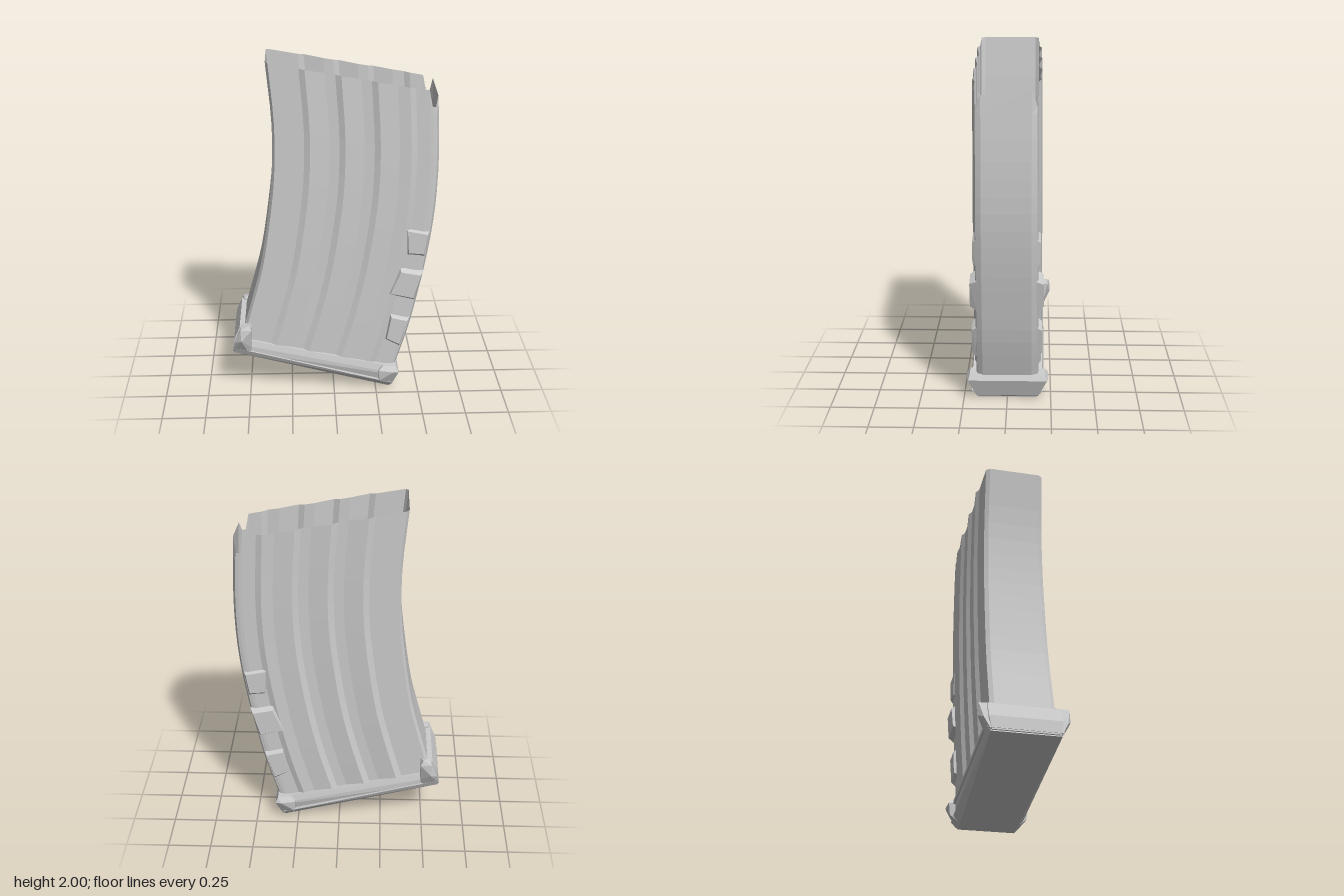
import * as THREE from 'three';
import { ConvexGeometry } from 'three/addons/geometries/ConvexGeometry.js';

const material = new THREE.MeshStandardMaterial({ color: 0xcccccc, flatShading: true, side: THREE.DoubleSide });

const curve = (pts) => new THREE.CatmullRomCurve3(pts.map(([x, y]) => new THREE.Vector3(x, y, 0)));

// Edges of the curved body, bottom to top
const innerEdge = curve([[-0.55, 0.34], [-0.485, 0.57], [-0.425, 0.8], [-0.38, 1.08], [-0.35, 1.35], [-0.345, 1.65], [-0.375, 2]]);
const outerEdge = curve([[0.36, 0.12], [0.44, 0.38], [0.495, 0.62], [0.545, 0.88], [0.58, 1.16], [0.59, 1.45], [0.575, 1.83]]);

// Side wall profile: [position across the body, depth, drop of the top rim]
const profile = [
  [0, 0.15, 0], [0.015, 0.172, 0], [0.19, 0.174, 0], [0.225, 0.19, 0], [0.34, 0.174, 0],
  [0.4, 0.174, 0], [0.435, 0.191, 0], [0.55, 0.174, 0], [0.61, 0.176, 0], [0.645, 0.192, 0],
  [0.76, 0.18, 0], [0.83, 0.186, 0], [0.865, 0.172, 0], [0.945, 0.172, 0], [0.965, 0.17, 0.09],
  [0.985, 0.165, 0.09], [1, 0.135, 0.03],
];

// Open tube lofted from cross-sections
function shellGeometry(rows = 18) {
  const ring = [
    ...profile.map(([u, z, drop]) => [u, z, drop]),
    ...profile.map(([u, z, drop]) => [u, -z, u === 1 ? 0 : drop]).reverse(),
  ];
  const n = ring.length, positions = [], index = [];
  for (let i = 0; i <= rows; i++) {
    const t = i / rows;
    const a = innerEdge.getPoint(t), b = outerEdge.getPoint(t);
    const swell = 1.04 - 0.05 * t;
    for (const [u, z, drop] of ring) {
      const p = a.clone().lerp(b, u);
      positions.push(p.x, p.y - (i === rows ? drop : 0), z * swell);
    }
  }
  for (let i = 0; i < rows; i++) {
    for (let j = 0; j < n; j++) {
      const a = i * n + j, b = i * n + (j + 1) % n;
      index.push(a, b, b + n, a, b + n, a + n);
    }
  }
  const g = new THREE.BufferGeometry();
  g.setAttribute('position', new THREE.Float32BufferAttribute(positions, 3));
  g.setIndex(index);
  g.computeVertexNormals();
  return g;
}

// Faceted solid from corner points
const solid = (pts) => new ConvexGeometry(pts.map((p) => new THREE.Vector3(...p)));
// Faceted solid spanning the full depth: [x, y, half depth]
const across = (pts) => solid(pts.flatMap(([x, y, z]) => [[x, y, z], [x, y, -z]]));

export function createModel() {
  const model = new THREE.Group();
  const add = (name, geometry) => {
    const mesh = new THREE.Mesh(geometry, material);
    mesh.name = name;
    model.add(mesh);
  };

  add('curvedBody', shellGeometry());

  // Base plate with a projecting lip along its upper edge
  add('basePlate', across([
    [-0.59, 0.265, 0.18], [0.33, 0.008, 0.17], [-0.6, 0.28, 0.195],
    [0.36, 0.09, 0.195], [-0.54, 0.335, 0.195], [0.36, 0.13, 0.195],
  ]));
  add('baseLip', across([
    [-0.54, 0.315, 0.208], [0.34, 0.115, 0.208], [-0.54, 0.35, 0.2], [0.34, 0.155, 0.2],
  ]));
  add('baseFoot', across([
    [-0.595, 0.262, 0.19], [0.33, 0.004, 0.165], [-0.58, 0.295, 0.208], [0.34, 0.045, 0.205],
  ]));

  // Raised ends of the base
  add('outerEndCap', across([
    [0.27, 0.025, 0.165], [0.325, 0.005, 0.165], [0.345, 0.02, 0.18], [0.385, 0.125, 0.225],
    [0.37, 0.16, 0.215], [0.29, 0.165, 0.215], [0.265, 0.14, 0.232], [0.27, 0.07, 0.225], [0.35, 0.13, 0.236],
  ]));
  add('innerEndWall', across([
    [-0.6, 0.27, 0.185], [-0.59, 0.35, 0.2], [-0.555, 0.43, 0.2], [-0.525, 0.43, 0.2], [-0.52, 0.26, 0.185],
  ]));

  for (const s of [1, -1]) {
    const side = s > 0 ? 'front' : 'back';
    // Upright lug gripping the body
    add(side + 'Lug', solid([
      [-0.6, 0.27, 0.19], [-0.5, 0.245, 0.19], [-0.585, 0.34, 0.225], [-0.55, 0.43, 0.245],
      [-0.5, 0.45, 0.225], [-0.485, 0.42, 0.235], [-0.485, 0.3, 0.205], [-0.545, 0.36, 0.25],
      [-0.54, 0.44, 0.17], [-0.485, 0.44, 0.17], [-0.485, 0.28, 0.17],
    ].map(([x, y, z]) => [x, y, z * s])));

    // Stepped blocks along the outer edge, each tapering outwards
    const blocks = [
      [[[0.41, 1.04], [0.55, 1.01], [0.525, 0.85], [0.42, 0.86]], 0.186],
      [[[0.38, 0.795], [0.52, 0.765], [0.47, 0.575], [0.31, 0.615]], 0.205],
      [[[0.33, 0.5], [0.445, 0.47], [0.39, 0.27], [0.3, 0.32]], 0.198],
    ];
    blocks.forEach(([corners, depth], k) => {
      const cx = corners.reduce((v, c) => v + c[0], 0) / 4;
      const cy = corners.reduce((v, c) => v + c[1], 0) / 4;
      add(side + 'EdgeBlock' + (k + 1), solid(corners.flatMap(([x, y]) => [
        [x, y, 0.165 * s],
        [cx + (x - cx) * 0.82, cy + (y - cy) * 0.75, depth * s],
      ])));
    });
  }
  return model;
}
